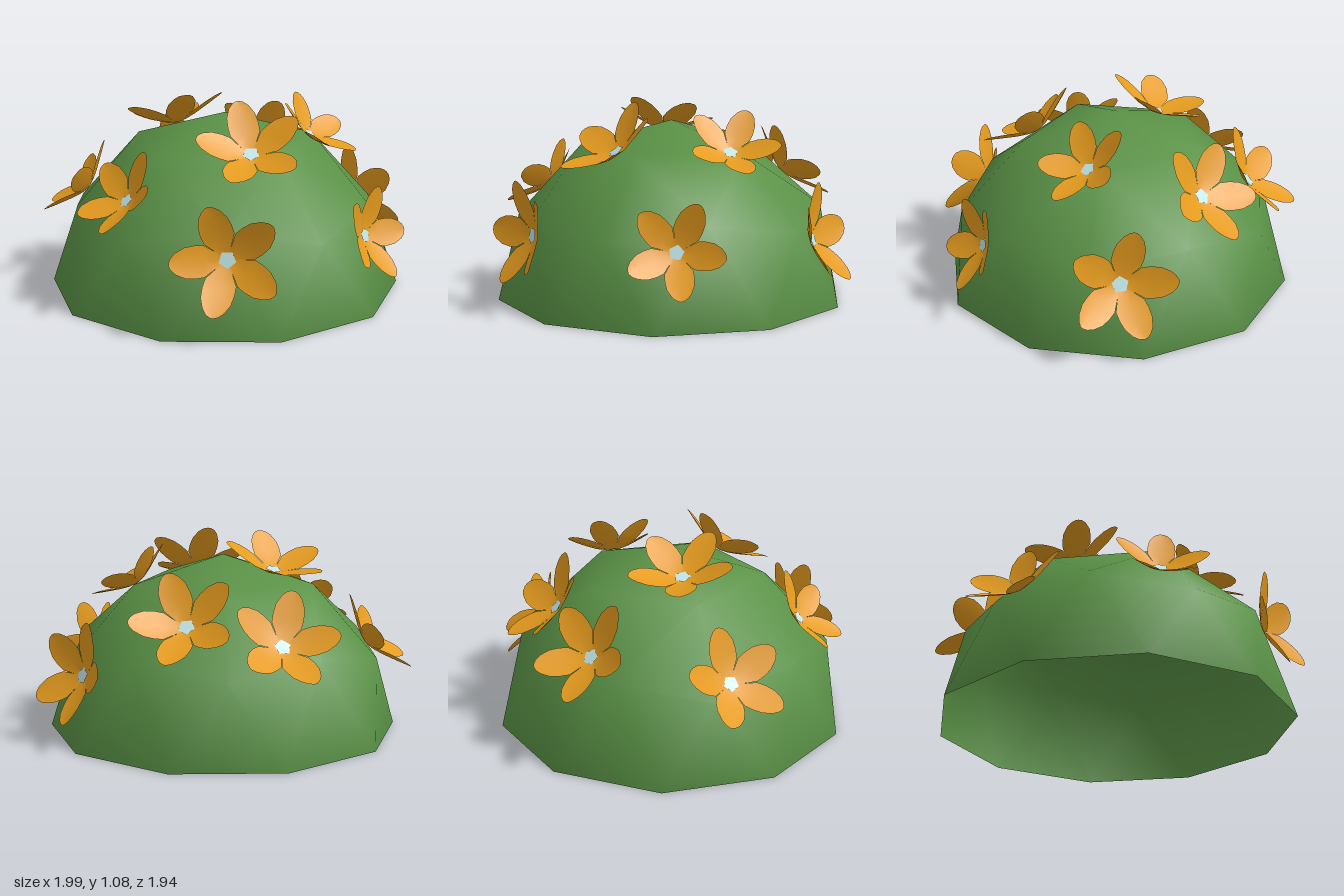
import * as THREE from 'three';

const mat = (name, color) => {
  const m = new THREE.MeshStandardMaterial({ color, side: THREE.DoubleSide });
  m.name = name;
  return m;
};

const DOME_CENTRE = new THREE.Vector3(-0.04, 0, 0.02);

// Upper half of a subdivided icosahedron, one corner at the top, smooth normals
function domeGeometry() {
  const g = new THREE.IcosahedronGeometry(0.96, 1);
  g.rotateZ(Math.atan(2 / (1 + Math.sqrt(5)))).rotateY(0.356);
  const pos = g.attributes.position, index = [];
  for (let i = 0; i < pos.count; i += 3) {
    if (pos.getY(i) + pos.getY(i + 1) + pos.getY(i + 2) > 0.1) index.push(i, i + 1, i + 2);
  }
  g.setIndex(index);
  return g;
}

// Where a ray from the dome's centre meets it, with that face's normal
function domeHit(geometry, target) {
  const ray = new THREE.Ray(new THREE.Vector3(), target.clone().sub(DOME_CENTRE).normalize());
  const face = new THREE.Triangle(), point = new THREE.Vector3(), normal = new THREE.Vector3();
  const id = geometry.index;
  for (let i = 0; i < id.count; i += 3) {
    face.setFromAttributeAndIndices(geometry.attributes.position, id.getX(i), id.getX(i + 1), id.getX(i + 2));
    if (ray.intersectTriangle(face.a, face.b, face.c, false, point)) {
      face.getNormal(normal);
      break;
    }
  }
  return { point: point.add(DOME_CENTRE), normal };
}

// Cupped petal along +z, built from cross-sections [distance, half width, height]
function petalGeometry() {
  const rows = [
    [0.04, 0.03, 0], [0.2, 0.145, 0.035], [0.4, 0.28, 0.11], [0.55, 0.29, 0.18],
    [0.72, 0.27, 0.26], [0.88, 0.19, 0.34], [0.96, 0.11, 0.38], [1, 0.03, 0.4],
  ];
  const points = [], index = [];
  rows.forEach(([d, w, h], i) => {
    for (let j = -1; j <= 1; j++) points.push(j * w, h + Math.abs(j) * w * 0.15, d);
    if (i === 0) return;
    for (let j = 0; j < 2; j++) {
      const a = (i - 1) * 3 + j, b = a + 3;
      index.push(a, b, a + 1, a + 1, b, b + 1);
    }
  });
  const g = new THREE.BufferGeometry();
  g.setAttribute('position', new THREE.Float32BufferAttribute(points, 3));
  g.setIndex(index);
  g.computeVertexNormals();
  return g;
}

export function createModel() {
  const model = new THREE.Group();
  model.name = 'floweringMound';
  const green = mat('leafGreen', 0x5a9246);
  const orange = mat('petalOrange', 0xe59b1e);
  const pale = mat('paleBlue', 0xc2e4e6);

  // Hollow faceted dome
  const domeShape = domeGeometry();
  const dome = new THREE.Mesh(domeShape, green);
  dome.name = 'dome';
  dome.position.copy(DOME_CENTRE);
  model.add(dome);

  // Flowers: place on the dome, direction of one petal, petal length
  const flowers = [
    [[-0.21, 0.9, -0.22], [-1, 0, 0.05], 0.28],
    [[-0.15, 0.83, 0.45], [0.1, -0.1, 0.23], 0.28],
    [[0.4, 0.83, 0.21], [0, 0.13, -0.17], 0.25],
    [[0.46, 0.67, -0.37], [-0.09, -0.08, -0.25], 0.28],
    [[0.1, 0.6, -0.72], [-0.03, -0.23, -0.2], 0.28],
    [[-0.62, 0.51, -0.56], [0.1, 1, 0], 0.27],
    [[-0.74, 0.61, 0.17], [0.06, 0.01, 0.21], 0.25],
    [[-0.5, 0.42, 0.77], [-0.03, 0.25, -0.13], 0.28],
    [[0.36, 0.4, 0.78], [0.21, -0.04, -0.09], 0.25],
    [[0.81, 0.38, 0.09], [-0.1, 0.26, -0.07], 0.28],
  ];
  const petalShape = petalGeometry();
  const centreShape = new THREE.CircleGeometry(0.16, 5).rotateX(-Math.PI / 2);

  for (const [place, toward, size] of flowers) {
    const flower = new THREE.Group();
    flower.name = 'flower';
    const { point, normal: up } = domeHit(domeShape, new THREE.Vector3(...place));
    flower.position.copy(point).addScaledVector(up, 0.004);
    const out = new THREE.Vector3(...toward).projectOnPlane(up).normalize();
    const side = new THREE.Vector3().crossVectors(up, out);
    flower.quaternion.setFromRotationMatrix(new THREE.Matrix4().makeBasis(side, up, out));
    flower.scale.setScalar(size);

    for (let i = 0; i < 5; i++) {
      const petal = new THREE.Mesh(petalShape, orange);
      petal.name = 'petal';
      petal.rotation.y = (i * Math.PI * 2) / 5;
      flower.add(petal);
    }
    const heart = new THREE.Mesh(centreShape, pale);
    heart.name = 'flowerCentre';
    heart.position.y = 0.045;
    flower.add(heart);
    model.add(flower);
  }
  return model;
}
